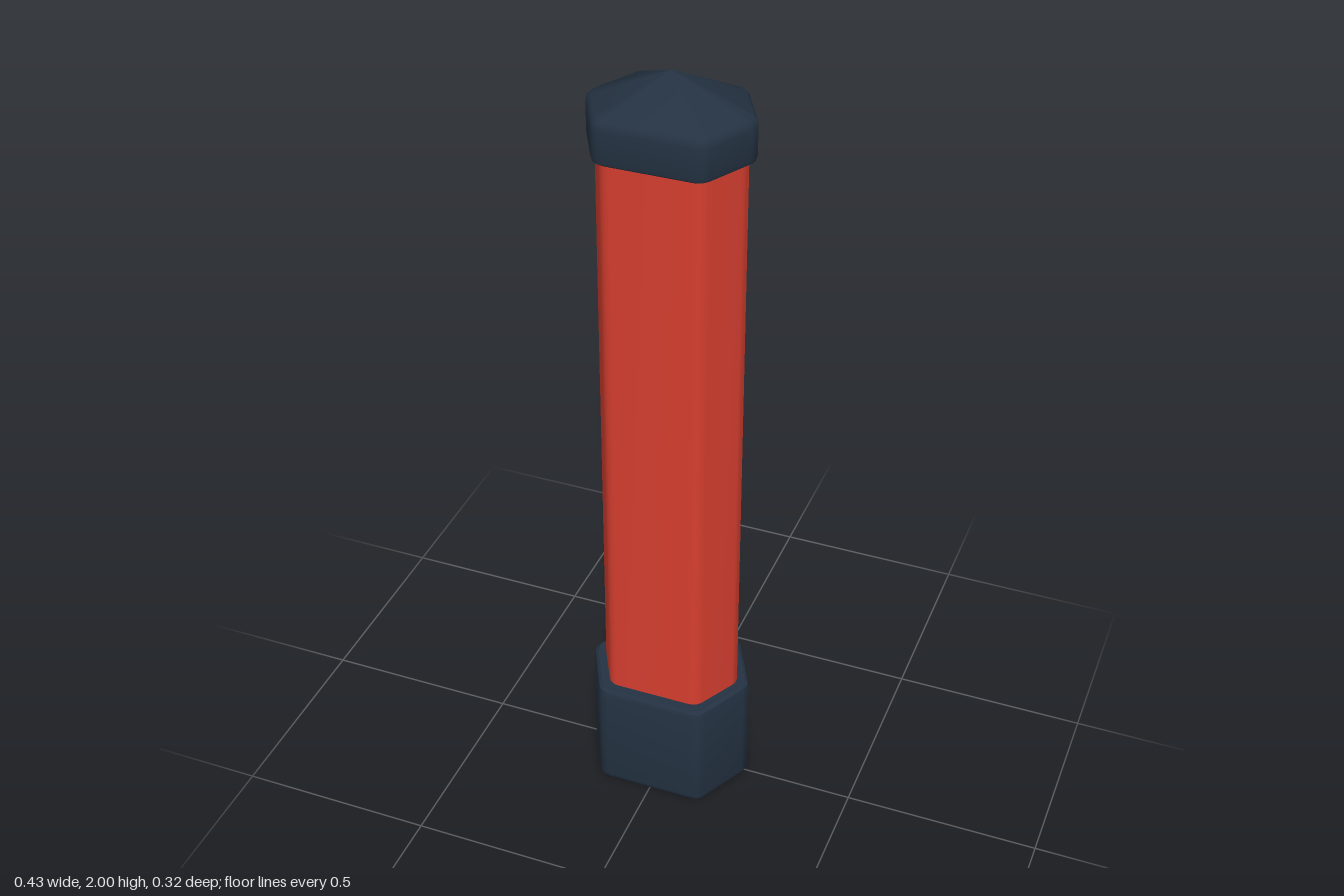
import * as THREE from 'three';
import { toCreasedNormals } from 'three/addons/utils/BufferGeometryUtils.js';

// Stretched hexagon outline with softly rounded corners, counter-clockwise from above.
function hexOutline(halfWidth, halfDepth, flat, radius) {
  const corners = [[halfWidth, 0], [flat, halfDepth], [-flat, halfDepth],
    [-halfWidth, 0], [-flat, -halfDepth], [flat, -halfDepth]].map(c => new THREE.Vector2(...c));
  return corners.flatMap((corner, i) => {
    const toward = other => corner.clone().add(other.clone().sub(corner).setLength(radius));
    const curve = new THREE.QuadraticBezierCurve(
      toward(corners[(i + 5) % 6]), corner, toward(corners[(i + 1) % 6]));
    return curve.getPoints(4);
  });
}

// Skin the outline through levels of [scale, height]; a scale of 0 closes an end.
function loft(outline, levels) {
  const positions = [];
  const n = outline.length;
  const point = (i, j) => {
    const [s, y] = levels[i], p = outline[j % n];
    return [p.x * s, y, -p.y * s];
  };
  for (let i = 0; i < levels.length - 1; i++) {
    for (let j = 0; j < n; j++) {
      const a = point(i, j), b = point(i, j + 1), c = point(i + 1, j + 1), d = point(i + 1, j);
      if (levels[i][0] > 0) positions.push(...a, ...b, ...c);
      if (levels[i + 1][0] > 0) positions.push(...a, ...c, ...d);
    }
  }
  const geometry = new THREE.BufferGeometry();
  geometry.setAttribute('position', new THREE.Float32BufferAttribute(positions, 3));
  return toCreasedNormals(geometry, 0.6);
}

export function createModel() {
  const group = new THREE.Group();
  const red = new THREE.MeshStandardMaterial({ color: 0xd63e2f });
  red.name = 'red';
  const navy = new THREE.MeshStandardMaterial({ color: 0x243242 });
  navy.name = 'dark navy';

  const add = (name, material, outline, levels) => {
    const mesh = new THREE.Mesh(loft(outline, levels), material);
    mesh.name = name;
    group.add(mesh);
  };

  // Wide foot with softened rims
  add('base', navy, hexOutline(0.218, 0.159, 0.137, 0.022), [
    [0, 0], [0.96, 0], [0.985, 0.004], [1, 0.015],
    [1, 0.285], [0.985, 0.299], [0.95, 0.305], [0, 0.305],
  ]);

  // Tall post
  add('post', red, hexOutline(0.186, 0.127, 0.118, 0.022), [
    [0, 0.29], [1, 0.29], [1, 1.83], [0, 1.83],
  ]);

  // Overhanging cap with a shallow pyramid top
  add('cap', navy, hexOutline(0.205, 0.143, 0.13, 0.022), [
    [0, 1.813], [0.95, 1.813], [0.985, 1.817], [1, 1.827],
    [1, 1.897], [0.985, 1.91], [0.94, 1.919], [0, 2],
  ]);

  return group;
}
